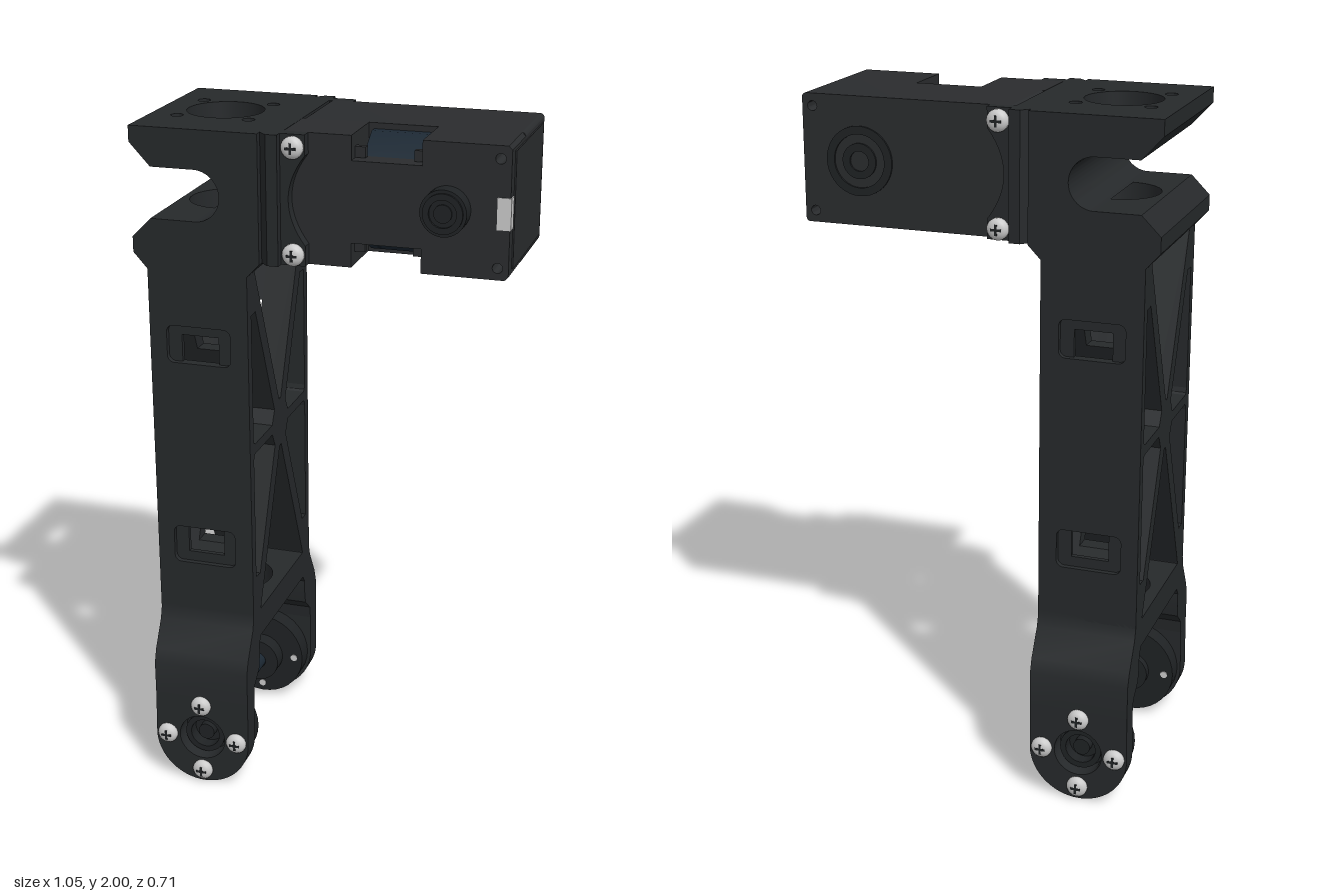
import * as THREE from 'three';
import { toCreasedNormals } from 'three/addons/utils/BufferGeometryUtils.js';

const mat = (color) => new THREE.MeshStandardMaterial({ color });
const FRAME = mat(0x26292b), MOTOR = mat(0x2a2c2e), HORN = mat(0x1f2224);
const STEEL = mat(0xcccccc), BLUE = mat(0x1c2833);
const CX = -0.345, L = -0.49, R = -0.197; // link centre and side faces in x

function add(parent, name, geo, material, x = 0, y = 0, z = 0) {
  const m = new THREE.Mesh(geo, material);
  m.name = name;
  m.position.set(x, y, z);
  parent.add(m);
  return m;
}
const poly = (pts) => new THREE.Shape(pts.map(([a, b]) => new THREE.Vector2(a, b)));
const rect = (a, b, c, d) => poly([[a, b], [c, b], [c, d], [a, d]]);
function circle(x, y, r) {
  const p = new THREE.Path();
  p.absarc(x, y, r, 0, Math.PI * 2);
  return p;
}
function roundRect(a, b, c, d, r) {
  const s = new THREE.Shape();
  s.absarc(c - r, d - r, r, 0, Math.PI / 2);
  s.absarc(a + r, d - r, r, Math.PI / 2, Math.PI);
  s.absarc(a + r, b + r, r, Math.PI, Math.PI * 1.5);
  s.absarc(c - r, b + r, r, Math.PI * 1.5, Math.PI * 2);
  return s;
}
// Extrude a shape from a to b: axis z takes (x,y), axis y takes (x,z), axis x takes (-z,y)
function prism(shape, axis, a, b, holes = []) {
  shape.holes.push(...holes);
  const g = new THREE.ExtrudeGeometry(shape, { depth: b - a, bevelEnabled: false, curveSegments: 20 });
  if (axis === 'z') g.translate(0, 0, a);
  if (axis === 'x') g.rotateY(Math.PI / 2).translate(a, 0, 0);
  if (axis === 'y') g.rotateX(Math.PI / 2).translate(0, b, 0);
  return toCreasedNormals(g, 0.6);
}
const box = (x0, x1, y0, y1, z0, z1) =>
  new THREE.BoxGeometry(x1 - x0, y1 - y0, z1 - z0).translate((x0 + x1) / 2, (y0 + y1) / 2, (z0 + z1) / 2);
// Cylinder along z from z0 to z1
const disc = (r, z0, z1) =>
  new THREE.CylinderGeometry(r, r, Math.abs(z1 - z0), 36).rotateX(Math.PI / 2).translate(0, 0, (z0 + z1) / 2);
// Ring along z
function ring(r0, r1, z0, z1) {
  const s = new THREE.Shape();
  s.absarc(0, 0, r1, 0, Math.PI * 2);
  return prism(s, 'z', Math.min(z0, z1), Math.max(z0, z1), [circle(0, 0, r0)]);
}

// Domed cross-head screw on a face pointing along sign * z
function screw(parent, x, y, z, sign, r = 0.031) {
  const g = new THREE.Group();
  g.name = 'screw';
  const pts = [[0, 0.022], [0.45, 0.021], [0.8, 0.016], [1, 0.008], [1, -0.002], [0.7, -0.006], [0, -0.006]];
  const head = new THREE.LatheGeometry(pts.reverse().map(([a, b]) => new THREE.Vector2(a * r, b)), 24).rotateX(Math.PI / 2);
  add(g, 'screwHead', head, STEEL);
  for (const a of [0, Math.PI / 2]) add(g, 'screwSlot', new THREE.BoxGeometry(r, 0.007, 0.004), HORN, 0, 0, 0.0205).rotation.z = a;
  g.position.set(x, y, z);
  if (sign < 0) g.rotation.y = Math.PI;
  parent.add(g);
}

function truss() {
  const g = new THREE.Group();
  g.name = 'truss';
  const cy = 1.075, k = 0.43, w = 0.025, C0 = -0.4, C1 = -0.29;
  // Diagonals: solid at the two faces, interrupted by the cross windows in the middle
  const runs = [[L, C0, 0.54, 1.61], [C1, R, 0.54, 1.61],
    [C0, C1, 0.54, 0.735], [C0, C1, 0.82, 1.33], [C0, C1, 1.41, 1.61]];
  for (const [x0, x1, y0, y1] of runs) for (const s of [1, -1]) {
    const c0 = s * k * (y0 - cy), c1 = s * k * (y1 - cy);
    add(g, 'diagonal', prism(poly([[c0 - w, y0], [c0 + w, y0], [c1 + w, y1], [c1 - w, y1]]), 'x', x0, x1), FRAME);
  }
  add(g, 'crossBar', box(L, R, cy - 0.015, cy + 0.015, -0.24, 0.24), FRAME);
  const hub = [0, 1, 2, 3, 4, 5].map((i) => [0.08 * Math.cos(i * Math.PI / 3), cy + 0.085 * Math.sin(i * Math.PI / 3)]);
  add(g, 'trussHub', prism(poly(hub), 'x', L, R), FRAME);
  for (const s of [1, -1]) {
    // Corner gussets
    for (const t of [1, -1]) {
      const p = [[0.195, 0.415], [0.205, 0.405], [0.237, 0.405], [0.237, 0.53], [0.2, 0.53]];
      add(g, 'gusset', prism(poly(p.map(([z, y]) => [s * z, cy + t * y])), 'x', L, R), FRAME);
      for (const v of [0.03, 0.045]) {
        const tri = [[0.237, 0.014], [0.237, v], [0.23, 0.02], [0.22, 0.014]];
        add(g, 'fillet', prism(poly(tri.map(([z, y]) => [s * z, cy + t * y])), 'x', L, R), FRAME);
      }
    }
    // Side wall: wide pocket outside, narrow window inside
    const [o0, o1, i0, i1] = s > 0 ? [0.249, 0.265, 0.234, 0.249] : [-0.265, -0.249, -0.249, -0.234];
    add(g, 'sideWall', prism(rect(L, 0.5, R, 1.64), 'z', o0, o1,
      [roundRect(-0.44, 1.33, -0.25, 1.44, 0.02), roundRect(-0.44, 0.705, -0.25, 0.82, 0.02)]), FRAME);
    add(g, 'sideWallInner', prism(rect(L, 0.5, R, 1.64), 'z', i0, i1,
      [rect(C0, 1.33, C1, 1.41), rect(C0, 0.735, C1, 0.82)]), FRAME);
  }
  add(g, 'lowerFloor', prism(rect(L, -0.25, R, 0.25), 'y', 0.462, 0.55, [circle(CX, 0, 0.11)]), FRAME);
  return g;
}

// One fork leg with its horn; s is the side (+1 front, -1 back)
function leg(s) {
  const g = new THREE.Group();
  g.name = s > 0 ? 'frontLeg' : 'backLeg';
  const flare = [[0.265, 0.56], [0.265, 0.545], [0.275, 0.51], [0.322, 0.43], [0.335, 0.39], [0.335, 0.28],
    [0.275, 0.28], [0.27, 0.32], [0.225, 0.36], [0.218, 0.4], [0.218, 0.44], [0.2, 0.465], [0.2, 0.56]];
  add(g, 'legFlare', prism(poly(flare.map(([z, y]) => [-s * z, y])), 'x', L, R), FRAME);
  const foot = new THREE.Shape();
  foot.moveTo(R, 0.285);
  foot.lineTo(L, 0.285);
  foot.absarc(CX, 0.152, 0.1475, Math.PI, Math.PI * 2);
  add(g, 'legFoot', prism(foot, 'z', s > 0 ? 0.275 : -0.335, s > 0 ? 0.335 : -0.275, [circle(CX, 0.155, 0.072)]), FRAME);
  // Horn disc, hub and centre screw
  const horn = new THREE.Group();
  horn.name = 'horn';
  horn.position.set(CX, 0.155, 0);
  add(horn, 'hornDisc', disc(0.138, s * 0.215, s * 0.272), HORN);
  add(horn, 'hornRing', ring(0.045, 0.062, s * 0.27, s * 0.31), HORN);
  add(horn, 'hornScrew', disc(0.025, s * 0.27, s * 0.3), HORN);
  add(horn, 'hornHub', ring(0.028, s > 0 ? 0.06 : 0.07, s * (s > 0 ? 0.19 : 0.165), s * 0.22), HORN);
  if (s < 0) add(horn, 'shaft', disc(0.026, -0.09, -0.22), BLUE);
  for (let i = 0; i < 4; i++) {
    const a = i * Math.PI / 2, x = 0.11 * Math.cos(a), y = 0.11 * Math.sin(a);
    screw(horn, x, y, s * 0.335, s);
    add(horn, 'screwTip', disc(0.011, s * 0.212, s * 0.22), STEEL, x, y);
  }
  g.add(horn);
  return g;
}

function bracket() {
  const g = new THREE.Group();
  g.name = 'topBracket';
  const Z = 0.265, bore = () => circle(CX, 0, 0.11);
  const small = [];
  for (const x of [-0.45, -0.24]) for (const z of [-0.105, 0.105]) small.push(circle(x, z, 0.018));
  add(g, 'topPlate', prism(rect(-0.47, -Z, -0.16, Z), 'y', 1.89, 2, [bore(), ...small]), FRAME);
  add(g, 'topLip', prism(poly([[-0.47, 2], [-0.53, 2], [-0.53, 1.955], [-0.47, 1.89]]), 'z', -Z, Z), FRAME);
  add(g, 'lowerPlate', prism(rect(-0.475, -Z, R, Z), 'y', 1.6, 1.745, [bore()]), FRAME);
  add(g, 'lowerLip', prism(poly([[-0.475, 1.745], [-0.53, 1.69], [-0.53, 1.645], [L, 1.6], [-0.475, 1.6]]), 'z', -Z, Z), FRAME);
  add(g, 'lowerHeel', prism(poly([[R, 1.745], [R, 1.6], [-0.16, 1.638], [-0.16, 1.745]]), 'z', -Z, Z), FRAME);
  // Web closing the slot with a half-round end
  const web = new THREE.Shape();
  web.moveTo(CX, 1.745);
  web.lineTo(-0.16, 1.745);
  web.lineTo(-0.16, 1.89);
  web.lineTo(CX, 1.89);
  web.absarc(CX, 1.8175, 0.0725, Math.PI / 2, -Math.PI / 2, true);
  add(g, 'slotWeb', prism(web, 'z', -Z, Z), FRAME);
  // Motor mounting flange with chamfered corners
  add(g, 'flange', prism(poly([[-0.16, -0.242], [-0.137, -Z], [-0.105, -Z], [-0.105, Z], [-0.137, Z], [-0.16, 0.242]]), 'y', 1.638, 2), FRAME);
  for (const s of [1, -1]) {
    const ear = new THREE.Shape();
    ear.moveTo(-0.11, 1.638);
    ear.lineTo(-0.035, 1.638);
    ear.lineTo(-0.035, 1.695);
    ear.quadraticCurveTo(-0.13, 1.82, -0.035, 1.943);
    ear.lineTo(-0.035, 2);
    ear.lineTo(-0.11, 2);
    add(g, 'flangeEar', prism(ear, 'z', s > 0 ? 0.205 : -0.24, s > 0 ? 0.24 : -0.205), FRAME);
    for (const y of [1.67, 1.965]) screw(g, -0.068, y, s * 0.243, s);
  }
  return g;
}

function motor() {
  const g = new THREE.Group();
  g.name = 'motor';
  const holes = () => [1.67, 1.965].map((y) => circle(0.49, y, 0.014));
  add(g, 'motorBack', prism(roundRect(-0.104, 1.637, 0.52, 2, 0.012), 'z', -0.213, 0.04, holes()), MOTOR);
  // Front half with a connector notch above and below
  const n = [[-0.104, 1.637], [0.085, 1.637], [0.085, 1.705], [0.28, 1.705], [0.28, 1.637], [0.51, 1.637], [0.52, 1.647],
    [0.52, 1.99], [0.51, 2], [0.28, 2], [0.28, 1.932], [0.085, 1.932], [0.085, 2], [-0.104, 2]];
  add(g, 'motorFront', prism(poly(n), 'z', 0.04, 0.208, holes()), MOTOR);
  for (const t of [1, -1]) {
    const y = (d) => 1.8185 + t * d;
    const wedge = [[-0.04, 0.165], [-0.065, 0.165], [-0.15, 0.11], [-0.04, 0.11]];
    add(g, 'connector', prism(poly(wedge.map(([u, d]) => [u, y(d)])), 'x', 0.1, 0.265), BLUE);
    for (const x of [0.085, 0.25]) add(g, 'connectorClip', new THREE.BoxGeometry(0.03, 0.03, 0.02), MOTOR, x + 0.015, y(0.13), 0.165);
  }
  // Output boss on the front
  add(g, 'outputBoss', disc(0.064, 0.2, 0.256), HORN, 0.35, 1.82);
  add(g, 'outputRim', ring(0.038, 0.055, 0.25, 0.263), HORN, 0.35, 1.82);
  add(g, 'outputScrew', disc(0.025, 0.25, 0.261), HORN, 0.35, 1.82);
  // Idler rings on the back
  add(g, 'idlerRing', ring(0.075, 0.098, -0.21, -0.219), HORN, 0.35, 1.82);
  add(g, 'idlerHub', ring(0.028, 0.05, -0.21, -0.219), HORN, 0.35, 1.82);
  add(g, 'endTab', box(0.485, 0.523, 1.775, 1.862, 0.18, 0.211), STEEL);
  add(g, 'endCover', box(0.515, 0.524, 1.66, 1.98, -0.19, 0.17), MOTOR);
  return g;
}

export function createModel() {
  const model = new THREE.Group();
  model.name = 'robotArmLink';
  model.add(truss(), leg(1), leg(-1), bracket(), motor());
  return model;
}
